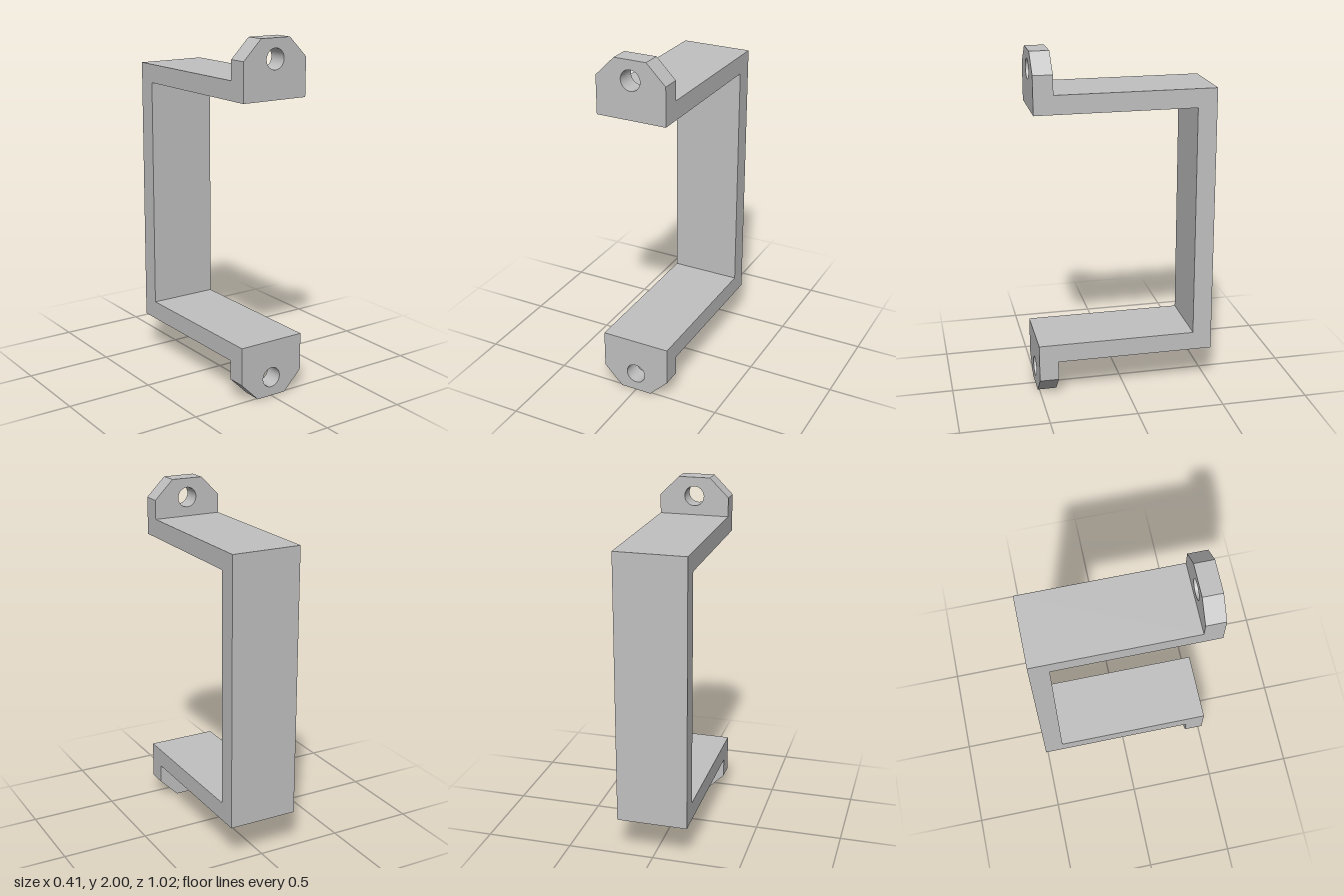
import * as THREE from 'three';

export function createModel() {
  const model = new THREE.Group();
  model.name = 'mountingBracket';
  const metal = new THREE.MeshStandardMaterial({ color: 0xc0c0c0 });
  metal.name = 'grey metal';

  const halfWidth = 0.203, depth = 0.51, thick = 0.11;
  const armLow = 0.673, armHigh = 0.78; // arm faces, measured from mid-height
  const tabBack = depth - thick;

  // U-shaped strap: side profile (-z, y) extruded across the width
  const profile = new THREE.Shape([
    [-tabBack, -armHigh], [depth, -armHigh], [depth, armHigh], [-tabBack, armHigh],
    [-tabBack, armLow], [depth - thick, armLow], [depth - thick, -armLow], [-tabBack, -armLow],
  ].map(([a, b]) => new THREE.Vector2(a, b)));
  const strapGeometry = new THREE.ExtrudeGeometry(profile, { depth: halfWidth * 2, bevelEnabled: false });
  strapGeometry.translate(0, 0, -halfWidth).rotateY(Math.PI / 2);
  const strap = new THREE.Mesh(strapGeometry, metal);
  strap.name = 'strap';
  strap.position.y = 1;
  model.add(strap);

  // Chamfered mounting tab with a round screw hole
  const chamfer = 0.11;
  const outline = new THREE.Shape([
    [-halfWidth, armLow], [halfWidth, armLow], [halfWidth, 1 - chamfer],
    [halfWidth - chamfer, 1], [chamfer - halfWidth, 1], [-halfWidth, 1 - chamfer],
  ].map(([x, y]) => new THREE.Vector2(x, y)));
  outline.holes.push(new THREE.Path().absarc(0, 1 - chamfer, 0.057, 0, Math.PI * 2, true));
  const tabGeometry = new THREE.ExtrudeGeometry(outline, { depth: thick, bevelEnabled: false, curveSegments: 32 });
  tabGeometry.translate(0, 0, tabBack);

  // The lower tab is the upper one turned half a revolution
  for (const [name, angle] of [['upperTab', 0], ['lowerTab', Math.PI]]) {
    const tab = new THREE.Mesh(tabGeometry, metal);
    tab.name = name;
    tab.position.y = 1;
    tab.rotation.z = angle;
    model.add(tab);
  }
  return model;
}
